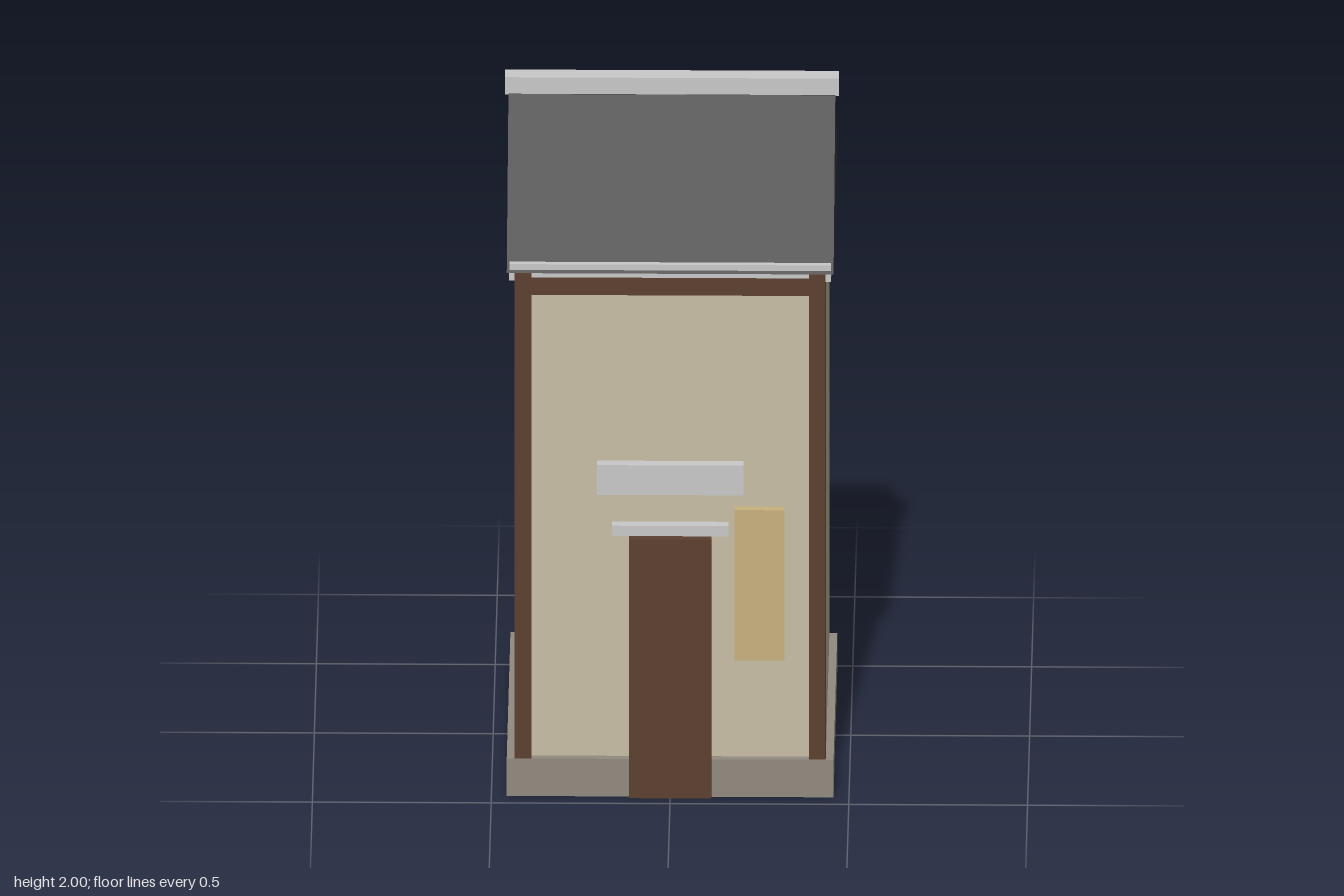
import * as THREE from 'three';

const material = (name, color) => {
  const m = new THREE.MeshStandardMaterial({ color });
  m.name = name;
  return m;
};

export function createModel() {
  const house = new THREE.Group();
  house.name = 'house';

  const plaster = material('plaster', 0xc8bfa6);
  const slate = material('slate', 0x3c3c3c);
  const timber = material('timber', 0x5c4030);
  const stone = material('stone', 0x928b80);
  const trim = material('trim', 0xcacaca);
  const amber = material('amber', 0xc9b27e);

  // Box given by its limits along each axis
  const box = (name, mat, [x0, x1], [y0, y1], [z0, z1]) => {
    const mesh = new THREE.Mesh(new THREE.BoxGeometry(x1 - x0, y1 - y0, z1 - z0), mat);
    mesh.position.set((x0 + x1) / 2, (y0 + y1) / 2, (z0 + z1) / 2);
    mesh.name = name;
    house.add(mesh);
  };

  // Body on a stone plinth
  box('walls', plaster, [-0.435, 0.435], [0, 1.58], [-0.44, 0.43]);
  box('plinth', stone, [-0.457, 0.457], [0.001, 0.115], [-0.463, 0.452]);

  // Timber frame on the front
  for (const s of [-1, 1]) {
    const xs = [s * 0.388, s * 0.435].sort((a, b) => a - b);
    box('cornerPost', timber, xs, [0.115, 1.585], [0.43, 0.451]);
  }
  box('topBeam', timber, [-0.388, 0.388], [1.52, 1.572], [0.43, 0.45]);

  // Door, lintel, sign board and window
  box('door', timber, [-0.115, 0.115], [0, 0.785], [0.43, 0.462]);
  box('doorLintel', trim, [-0.163, 0.163], [0.795, 0.826], [0.43, 0.462]);
  box('signBoard', trim, [-0.205, 0.205], [0.92, 1.01], [0.43, 0.463]);
  box('window', amber, [0.18, 0.32], [0.416, 0.872], [0.43, 0.455]);

  // Eaves board below the roof
  box('eavesBoard', trim, [-0.45, 0.45], [1.562, 1.588], [-0.456, 0.447]);

  // Gabled roof: profile swept along x
  const profile = new THREE.Shape([
    new THREE.Vector2(-0.457, 1.586),
    new THREE.Vector2(0.457, 1.586),
    new THREE.Vector2(0.03, 1.95),
    new THREE.Vector2(-0.03, 1.95),
  ]);
  const roofGeometry = new THREE.ExtrudeGeometry(profile, { depth: 0.914, bevelEnabled: false });
  roofGeometry.translate(0, 0, -0.457).rotateY(Math.PI / 2);
  const roof = new THREE.Mesh(roofGeometry, slate);
  roof.position.z = -0.006;
  roof.name = 'roof';
  house.add(roof);

  // Ridge cap and strips along the lower edges of the roof
  box('ridgeCap', trim, [-0.467, 0.467], [1.947, 2], [-0.034, 0.022]);
  box('frontRoofStrip', trim, [-0.45, 0.45], [1.59, 1.61], [0.425, 0.443]);
  box('backRoofStrip', trim, [-0.45, 0.45], [1.59, 1.61], [-0.456, -0.438]);

  return house;
}
